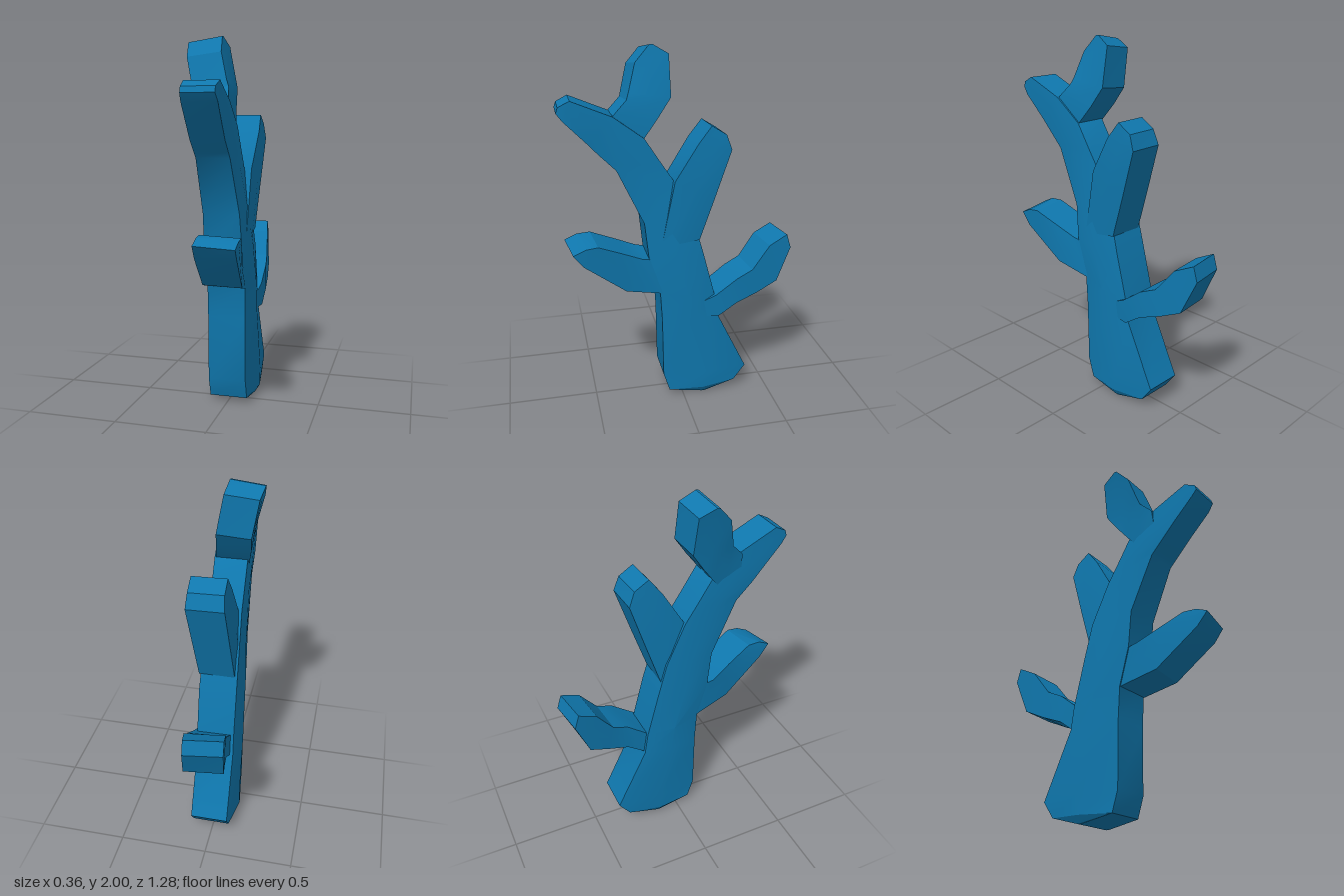
import * as THREE from 'three';
import { toCreasedNormals } from 'three/addons/utils/BufferGeometryUtils.js';

const material = new THREE.MeshStandardMaterial({ color: 0x0f77ad });

// Lofts a slab-like limb through hexagonal sections.
// Row: [zFront, yFront, zBack, yBack, centre x, half width, bulge of the flat sides].
// yaw and roll shift z and y across the width, growing towards the tip.
function limb(name, rows, yaw = 0, roll = 0) {
  const last = rows.length - 1;
  const rings = rows.map(([zf, yf, zb, yb, cx, half, bulge], i) => {
    const t = i / last;
    const at = (side, k, w) => {
      const dx = side * w;
      return [
        cx + dx,
        THREE.MathUtils.lerp(yf, yb, k) + roll * t * dx,
        THREE.MathUtils.lerp(zf, zb, k) + yaw * t * dx,
      ];
    };
    return [
      at(1, 0, half), at(1, 0.5, half + bulge), at(1, 1, half),
      at(-1, 1, half), at(-1, 0.5, half + bulge), at(-1, 0, half),
    ];
  });
  const pos = [];
  const tri = (a, b, c) => pos.push(...a, ...b, ...c);
  for (let i = 0; i < last; i++) {
    for (let j = 0; j < 6; j++) {
      const k = (j + 1) % 6, lo = rings[i], hi = rings[i + 1];
      tri(lo[j], lo[k], hi[k]);
      tri(lo[j], hi[k], hi[j]);
    }
  }
  // End caps
  for (let j = 1; j < 5; j++) {
    tri(rings[last][0], rings[last][j], rings[last][j + 1]);
    tri(rings[0][0], rings[0][j + 1], rings[0][j]);
  }
  const geometry = new THREE.BufferGeometry();
  geometry.setAttribute('position', new THREE.Float32BufferAttribute(pos, 3));
  const mesh = new THREE.Mesh(toCreasedNormals(geometry, 0.4), material);
  mesh.name = name;
  return mesh;
}

export function createModel() {
  const group = new THREE.Group();
  group.name = 'branchingCoral';

  // Flared trunk bending into the upper front branch
  group.add(limb('trunk', [
    [-0.11, 0.0, -0.13, 0.0, 0.005, 0.11, 0],
    [0.08, 0.03, -0.31, 0.05, 0.005, 0.105, 0.03],
    [0.115, 0.14, -0.375, 0.14, 0.005, 0.105, 0.03],
    [0.12, 0.5, -0.2, 0.5, 0.005, 0.105, 0.03],
    [0.13, 0.67, -0.18, 0.63, 0.005, 0.105, 0.03],
    [0.19, 0.88, -0.115, 0.88, 0.005, 0.105, 0.025],
    [0.21, 1.08, -0.06, 1.08, 0.0, 0.1, 0.015],
    [0.35, 1.38, 0.05, 1.31, -0.003, 0.09, 0.01],
    [0.38, 1.41, 0.11, 1.4, -0.003, 0.09, 0.01],
    [0.44, 1.47, 0.2, 1.54, -0.003, 0.09, 0.008],
    [0.49, 1.525, 0.36, 1.66, 0, 0.09, 0.005],
    [0.61, 1.65, 0.57, 1.75, 0.01, 0.09, 0],
    [0.64, 1.69, 0.63, 1.72, 0.01, 0.085, 0],
  ]));

  // Upper back branch
  group.add(limb('upperBackBranch', [
    [0.12, 0.95, -0.09, 0.97, 0.015, 0.1, 0.01],
    [0.05, 1.31, -0.165, 1.2, 0.025, 0.1, 0.01],
    [-0.07, 1.51, -0.25, 1.47, 0.038, 0.1, 0.002],
    [-0.14, 1.6, -0.22, 1.55, 0.038, 0.093, 0],
  ], -0.05));

  // Top branch leaning sideways
  group.add(limb('topBranch', [
    [0.37, 1.54, 0.25, 1.48, -0.005, 0.085, 0],
    [0.36, 1.66, 0.2, 1.54, -0.012, 0.092, 0],
    [0.29, 1.73, 0.13, 1.63, -0.03, 0.092, 0],
    [0.28, 1.76, 0.06, 1.73, -0.042, 0.09, 0],
    [0.24, 1.9, 0.065, 1.94, -0.08, 0.088, 0],
    [0.165, 1.983, 0.15, 1.985, -0.095, 0.088, 0],
  ], -0.15, 0.17));

  // Lower back branch
  group.add(limb('lowerBackBranch', [
    [-0.1, 0.59, -0.12, 0.5, 0.02, 0.1, 0],
    [-0.18, 0.63, -0.2, 0.5, 0.025, 0.107, 0],
    [-0.3, 0.72, -0.3, 0.57, 0.025, 0.107, 0],
    [-0.39, 0.76, -0.42, 0.615, 0.01, 0.107, 0],
    [-0.49, 0.89, -0.54, 0.67, -0.01, 0.107, 0],
    [-0.595, 0.94, -0.62, 0.86, -0.027, 0.103, 0],
  ], -0.15));

  // Lower front branch
  group.add(limb('lowerFrontBranch', [
    [0.06, 0.66, 0.1, 0.86, 0.005, 0.1, 0],
    [0.13, 0.67, 0.23, 0.885, 0.01, 0.104, 0],
    [0.33, 0.72, 0.34, 0.94, 0.04, 0.104, 0],
    [0.56, 0.9, 0.48, 1.005, 0.072, 0.104, 0],
    [0.615, 0.97, 0.55, 1.0, 0.077, 0.102, 0],
  ], -0.15, -0.08));

  return group;
}
